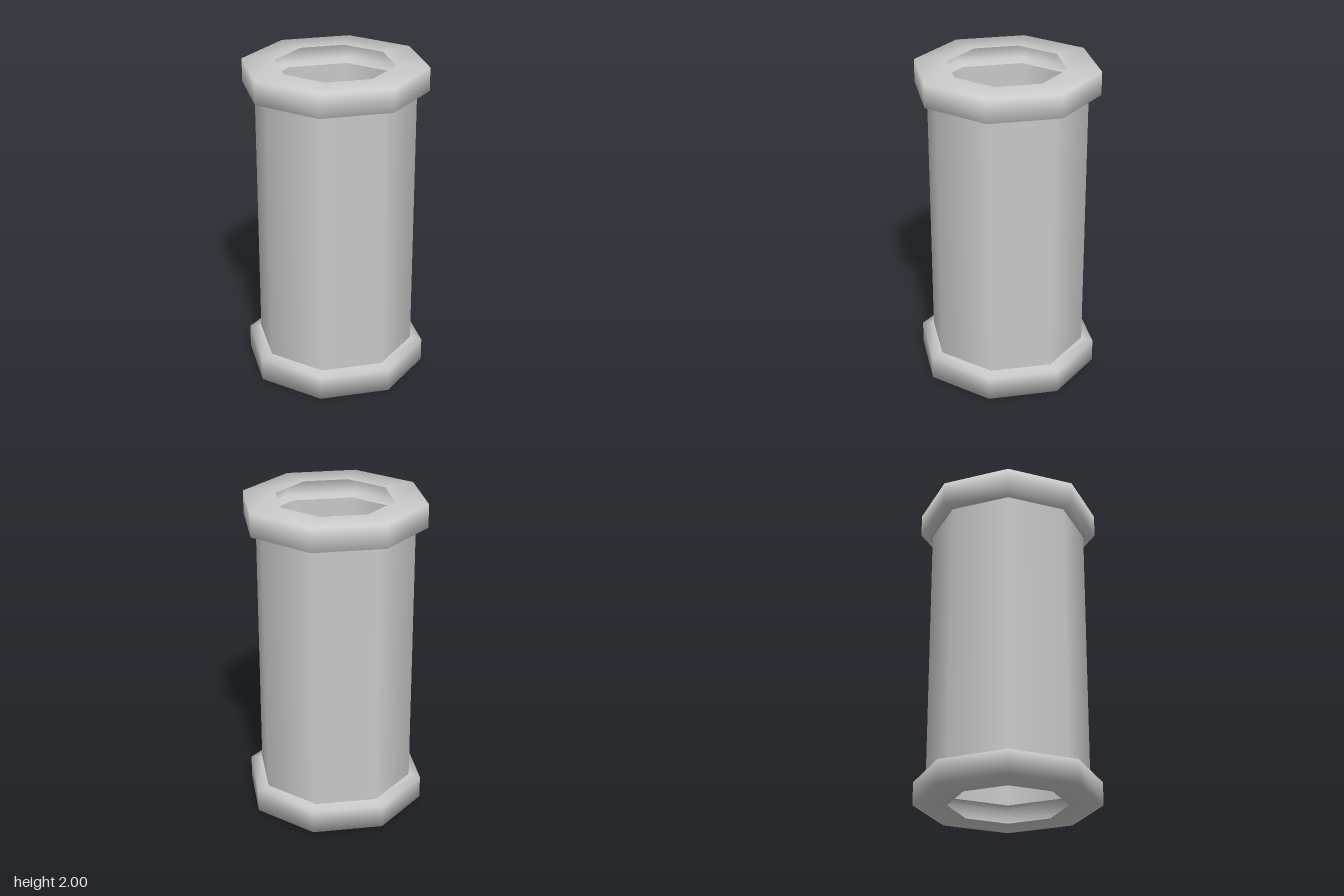
import * as THREE from 'three';

const SIDES = 8;

export function createModel() {
  const group = new THREE.Group();
  const material = new THREE.MeshStandardMaterial({ color: 0xcccccc, side: THREE.DoubleSide });

  // Turn a [radius, height] profile into an eight-sided shell with smooth normals
  const addShell = (name, profile) => {
    const points = profile.map(([r, y]) => new THREE.Vector2(r, y));
    const mesh = new THREE.Mesh(new THREE.LatheGeometry(points, SIDES), material);
    mesh.name = name;
    group.add(mesh);
  };

  // Hollow collar: end ring, outer wall, slightly sloped shoulder
  const collar = [[0.365, 0], [0.57, 0], [0.57, 0.145], [0.495, 0.16]];

  addShell('bottomCollar', collar);
  addShell('pipeBody', [[0.495, 0.16], [0.495, 1.84]]);
  addShell('topCollar', collar.map(([r, y]) => [r, 2 - y]).reverse());

  return group;
}
